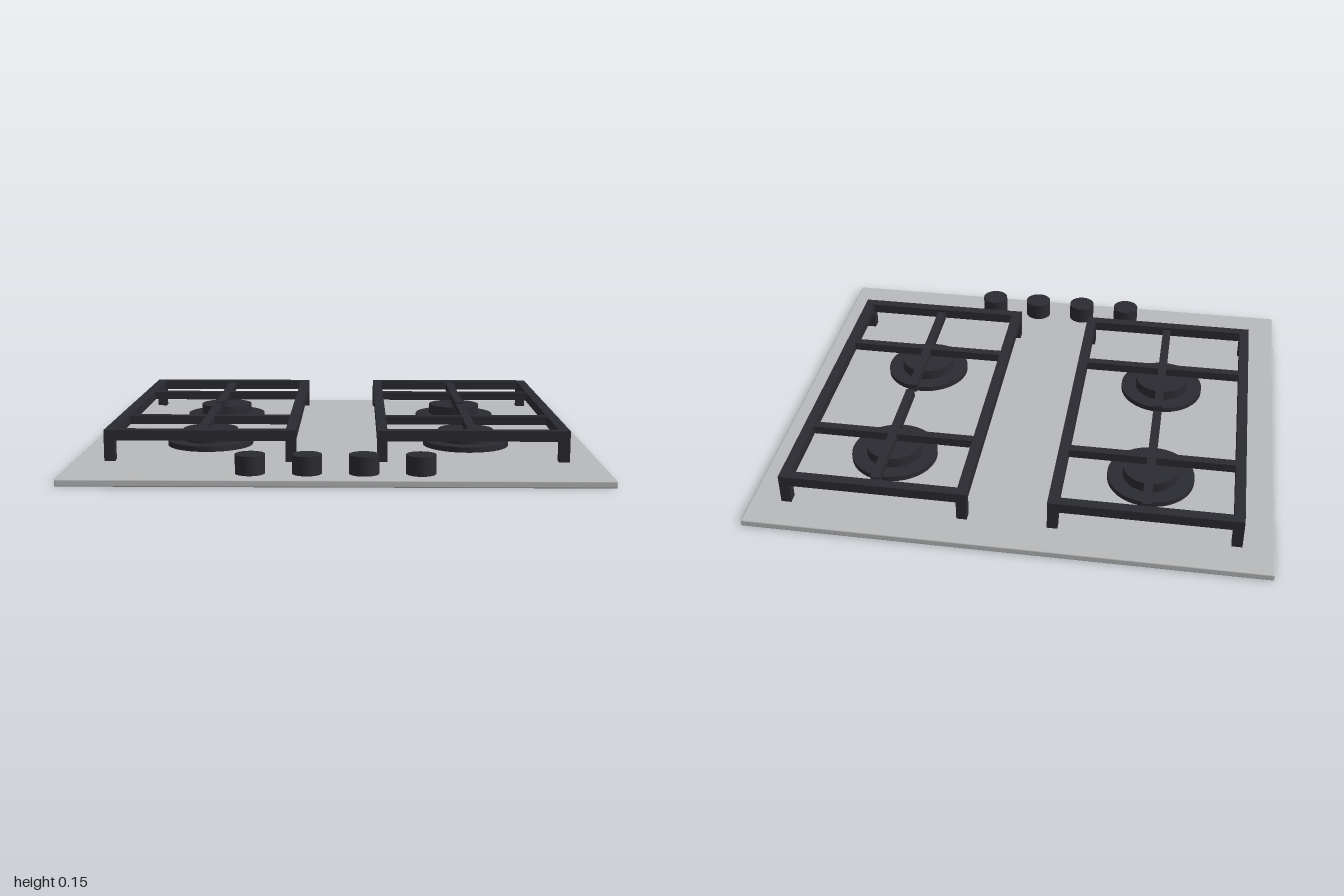
import * as THREE from 'three';
import { RoundedBoxGeometry } from 'three/addons/geometries/RoundedBoxGeometry.js';

const PLATE_TOP = 0.028;
const GRATE_TOP = 0.148;
const BAR = 0.04;

export function createModel() {
  const model = new THREE.Group();
  model.name = 'gasHob';

  const steel = new THREE.MeshStandardMaterial({ color: 0xb8b9ba });
  steel.name = 'brushed steel';
  const black = new THREE.MeshStandardMaterial({ color: 0x2a2a31 });
  black.name = 'black cast iron';

  function add(parent, name, geometry, material, x, y, z) {
    const mesh = new THREE.Mesh(geometry, material);
    mesh.name = name;
    mesh.position.set(x, y, z);
    parent.add(mesh);
    return mesh;
  }

  // Upright cylinder standing on height y0
  function disc(parent, name, radius, y0, y1, x, z) {
    const geometry = new THREE.CylinderGeometry(radius, radius, y1 - y0, 40);
    add(parent, name, geometry, black, x, (y0 + y1) / 2, z);
  }

  // Steel top plate with softened edges
  add(model, 'topPlate', new RoundedBoxGeometry(2, PLATE_TOP, 1.756, 2, 0.006), steel, 0, PLATE_TOP / 2, 0);

  // Rectangular grate frame, extruded upward
  const halfW = 0.364, zBack = -0.746, zFront = 0.573;
  const outline = (inset) => [
    new THREE.Vector2(-halfW + inset, -zFront + inset),
    new THREE.Vector2(halfW - inset, -zFront + inset),
    new THREE.Vector2(halfW - inset, -zBack - inset),
    new THREE.Vector2(-halfW + inset, -zBack - inset),
  ];
  const frameShape = new THREE.Shape(outline(0));
  frameShape.holes.push(new THREE.Path(outline(BAR)));
  const frameGeometry = new THREE.ExtrudeGeometry(frameShape, { depth: BAR, bevelEnabled: false });
  frameGeometry.rotateX(-Math.PI / 2);

  const legHeight = GRATE_TOP - BAR - PLATE_TOP;
  const legGeometry = new THREE.BoxGeometry(BAR, legHeight, BAR);
  const crossGeometry = new THREE.BoxGeometry(2 * (halfW - BAR), 0.034, 0.034);
  const fingerGeometry = new THREE.BoxGeometry(0.034, 0.034, 0.588);
  const barY = GRATE_TOP - BAR / 2;

  for (const side of [-1, 1]) {
    const cx = side * 0.517;
    const grate = new THREE.Group();
    grate.name = side < 0 ? 'rightGrate' : 'leftGrate';
    grate.position.x = cx;
    model.add(grate);
    add(grate, 'grateFrame', frameGeometry, black, 0, GRATE_TOP - BAR, 0);

    // Corner legs
    for (const sx of [-1, 1]) {
      for (const z of [zBack + BAR / 2, zFront - BAR / 2]) {
        add(grate, 'grateLeg', legGeometry, black, sx * (halfW - BAR / 2), PLATE_TOP + legHeight / 2, z);
      }
    }

    // Two burners, each under a cross of support bars
    for (const z of [-0.397, 0.224]) {
      add(grate, 'crossBar', crossGeometry, black, 0, barY, z);
      add(grate, 'supportBar', fingerGeometry, black, 0, barY, z);
      disc(model, 'burnerBase', 0.172, PLATE_TOP, 0.049, cx, z);
      disc(model, 'burnerCap', 0.111, 0.049, 0.091, cx, z);
    }
  }

  // Row of control knobs
  for (let i = 0; i < 4; i++) {
    disc(model, 'controlKnob', 0.055, PLATE_TOP, 0.099, (i - 1.5) * 0.207, 0.766);
  }

  return model;
}
